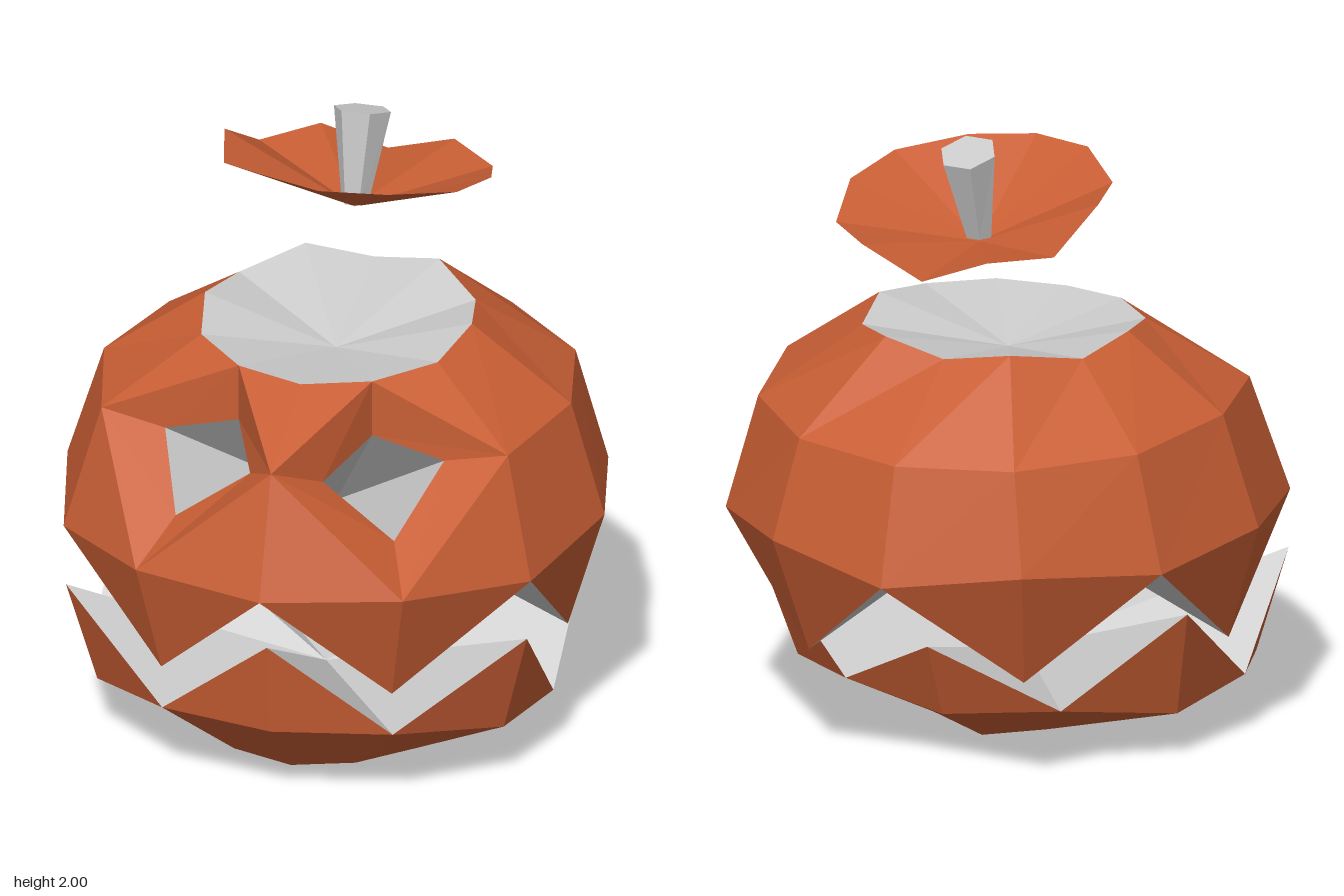
import * as THREE from 'three';

const skin = new THREE.MeshStandardMaterial({ color: 0xc85e34, flatShading: true });
const lidSkin = new THREE.MeshStandardMaterial({ color: 0xc85e34, flatShading: true, side: THREE.DoubleSide });
const flesh = new THREE.MeshStandardMaterial({ color: 0xcccccc, flatShading: true });

const N = 12;
const flipX = ([x, y, z]) => [-x, y, z];

// full 12-point ring from the half running front (+z) over +x to the back
const ring = (half) => [...half, ...half.slice(1, -1).reverse().map(flipX)];

// each polygon is a short loop of corners, counter-clockwise from outside
function facesMesh(name, polygons, material) {
  const pos = [];
  for (const p of polygons)
    for (let i = 1; i < p.length - 1; i++) pos.push(...p[0], ...p[i], ...p[i + 1]);
  const g = new THREE.BufferGeometry();
  g.setAttribute('position', new THREE.Float32BufferAttribute(pos, 3));
  g.computeVertexNormals();
  const m = new THREE.Mesh(g, material);
  m.name = name;
  return m;
}

const fan = (c, loop, up) => loop.map((p, k) => {
  const q = loop[(k + 1) % loop.length];
  return up ? [c, p, q] : [c, q, p];
});

const band = (lo, hi, keep = () => true) => lo
  .map((p, k) => [p, lo[(k + 1) % N], hi[(k + 1) % N], hi[k]])
  .filter((_, k) => keep(k));

function upperShell() {
  const group = new THREE.Group();
  group.name = 'upperShell';
  const core = [0, 0.71, 0];
  const belt = ring([[0, 0.78, 0.93], [0.44, 0.785, 0.81], [0.77, 0.74, 0.47], [0.885, 0.77, 0],
    [0.77, 0.74, -0.47], [0.44, 0.78, -0.81], [0, 0.72, -0.93]]);
  const shoulder = ring([[0, 1.17, 0.79], [0.38, 1.15, 0.7], [0.67, 1.13, 0.38], [0.77, 1.14, -0.02],
    [0.67, 1.12, -0.44], [0.38, 1.11, -0.74], [0, 1.1, -0.83]]);
  const rim = ring([[0, 1.32, 0.43], [0.22, 1.33, 0.37], [0.39, 1.34, 0.2], [0.44, 1.375, -0.03],
    [0.39, 1.345, -0.26], [0.22, 1.385, -0.44], [0, 1.35, -0.47]]);
  // mouth edge: fang tips at odd corners, belt corners between them
  const tips = { 1: [0.38, 0.41, 0.72], 3: [0.77, 0.38, 0.02], 5: [0.38, 0.38, -0.67] };
  const mouth = belt.map((p, k) => (k % 2 ? (k < 6 ? tips[k] : flipX(tips[N - k])) : p));

  const notEye = (k) => k > 1 && k < 10;
  const outer = [...band(belt, shoulder, notEye), ...band(shoulder, rim, notEye)];
  for (let k = 1; k < N; k += 2) {
    outer.push([belt[k - 1], mouth[k], belt[k]], [belt[k], mouth[k], belt[(k + 1) % N]]);
  }
  const pits = [];
  // eyes: diamond opening, sloping wall, pit running to the core
  const inner = [[0.12, 1.07, 0.6], [0.36, 0.9, 0.62], [0.46, 1.085, 0.38], [0.22, 1.14, 0.37]];
  const open = [shoulder[0], belt[1], shoulder[2], rim[1]];
  const half = [
    [belt[0], belt[1], shoulder[0]], [belt[1], belt[2], shoulder[2]],
    [shoulder[0], rim[1], rim[0]], [shoulder[2], rim[2], rim[1]],
  ];
  const halfPit = [];
  for (let i = 0; i < 4; i++) {
    const j = (i + 1) % 4;
    half.push([open[i], open[j], inner[j], inner[i]]);
    halfPit.push([inner[i], inner[j], core]);
  }
  const mirror = (list) => list.map((p) => p.map(flipX).reverse());
  outer.push(...half, ...mirror(half));
  pits.push(...halfPit, ...mirror(halfPit));

  group.add(
    facesMesh('upperSkin', outer, skin),
    facesMesh('eyePits', pits, flesh),
    facesMesh('upperMouth', fan(core, mouth, false), flesh),
    facesMesh('topOpening', fan([0, 1.25, 0], rim, true), flesh),
  );
  return group;
}

function lowerBowl() {
  const group = new THREE.Group();
  group.name = 'lowerBowl';
  const side = ring([[0, 0.26, 0.79], [0.38, 0.26, 0.71], [0.67, 0.195, 0.43], [0.76, 0.21, 0.16],
    [0.67, 0.16, -0.15], [0.38, 0.2, -0.4], [0, 0.16, -0.48]]);
  const base = ring([[0, 0.03, 0.55], [0.2, 0.04, 0.5], [0.36, 0.05, 0.37], [0.39, 0.025, 0.18],
    [0.36, 0.04, 0], [0.2, 0.03, -0.13], [0, 0, -0.19]]);
  // teeth rise at every even corner
  const peaks = { 0: [0, 0.58, 0.84], 2: [0.76, 0.54, 0.48], 4: [0.76, 0.54, -0.26], 6: [0, 0.42, -0.59] };
  const mouth = side.map((p, k) => (k % 2 ? p : k <= 6 ? peaks[k] : flipX(peaks[N - k])));
  const outer = [...band(base, side), ...fan([0, 0.06, 0.18], base, false)];
  for (let k = 0; k < N; k += 2) {
    outer.push([side[(k + N - 1) % N], side[k], mouth[k]], [side[k], side[k + 1], mouth[k]]);
  }
  group.add(
    facesMesh('lowerSkin', outer, skin),
    facesMesh('lowerMouth', fan([0, 0.2, 0.12], mouth, true), flesh),
  );
  return group;
}

function lid() {
  const group = new THREE.Group();
  group.name = 'lid';
  const edge = [[0, 1.9, 0.21], [0.21, 1.885, 0.15], [0.4, 1.85, 0], [0.455, 1.81, -0.21],
    [0.4, 1.74, -0.43], [0.23, 1.74, -0.59], [0, 1.66, -0.63], [-0.21, 1.74, -0.59],
    [-0.37, 1.735, -0.43], [-0.43, 1.86, -0.23], [-0.37, 1.855, 0], [-0.21, 1.905, 0.15]];
  group.add(facesMesh('lidCap', fan([0.01, 1.66, -0.19], edge, true), lidSkin));

  // tapered six-sided stem with a slanted top
  const stemRing = (cx, cy, cz, r, slope) => Array.from({ length: 6 }, (_, i) => {
    const a = (i + 0.5) * Math.PI / 3;
    const dz = Math.cos(a) * r;
    return [cx + Math.sin(a) * r, cy + dz * slope, cz + dz];
  });
  const foot = stemRing(0.01, 1.68, -0.195, 0.045, 0);
  const top = stemRing(0.018, 1.976, -0.255, 0.094, 0.3);
  const sides = foot.map((p, k) => [p, foot[(k + 1) % 6], top[(k + 1) % 6], top[k]]);
  group.add(facesMesh('stem', [...sides, top], flesh));
  return group;
}

export function createModel() {
  const model = new THREE.Group();
  model.name = 'carvedPumpkin';
  model.add(upperShell(), lowerBowl(), lid());
  return model;
}
